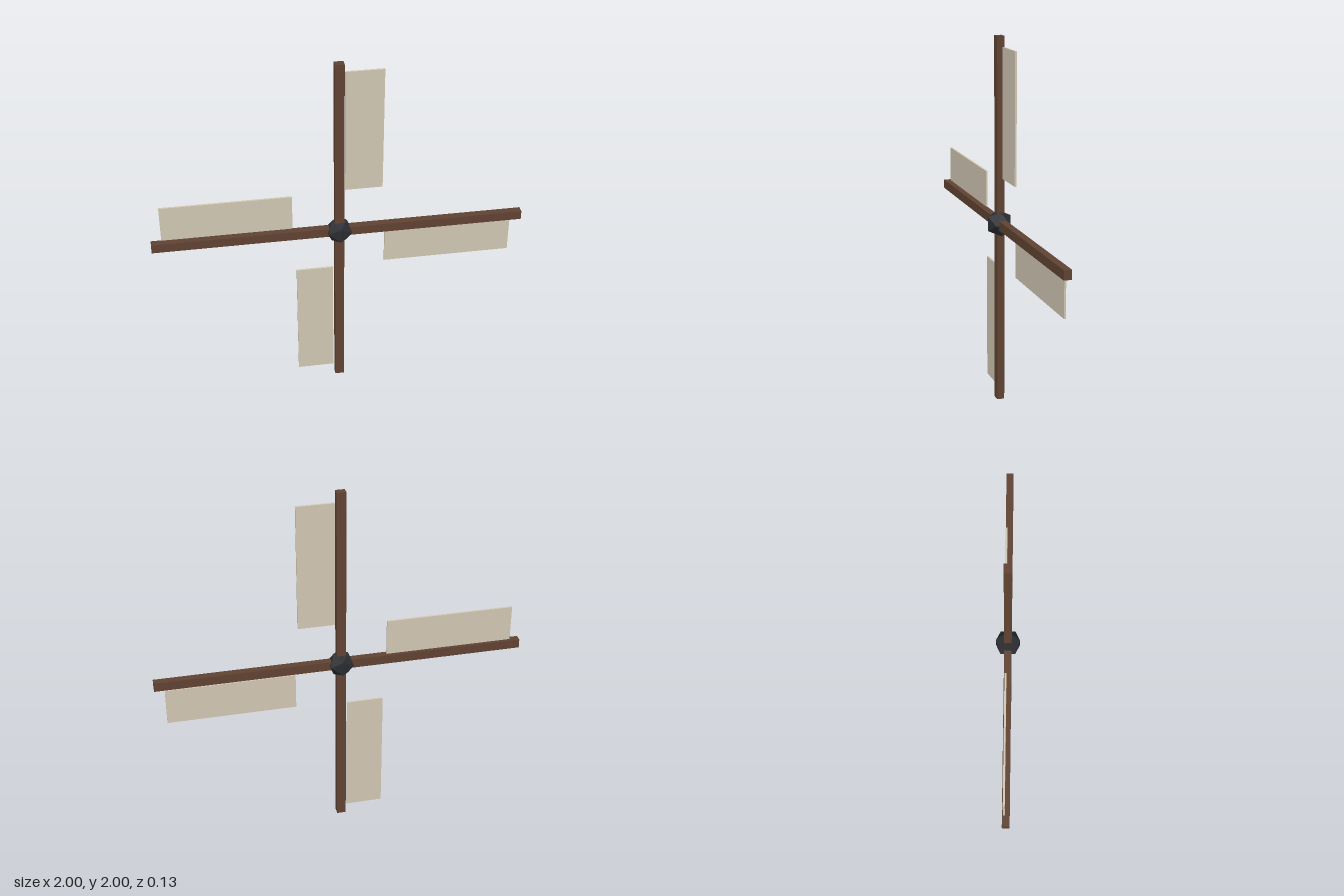
import * as THREE from 'three';

export function createModel() {
  const model = new THREE.Group();
  model.name = 'windmillSails';

  const wood = new THREE.MeshStandardMaterial({ color: 0x5f4232 });
  const cloth = new THREE.MeshStandardMaterial({ color: 0xd0c6b2 });
  const iron = new THREE.MeshStandardMaterial({ color: 0x2a2c31, flatShading: true });

  const add = (parent, name, geometry, material, x = 0, y = 0, z = 0) => {
    const mesh = new THREE.Mesh(geometry, material);
    mesh.name = name;
    mesh.position.set(x, y, z);
    parent.add(mesh);
  };

  // Rotor turns about its centre, one unit above the ground
  const rotor = new THREE.Group();
  rotor.name = 'rotor';
  rotor.position.y = 1;
  model.add(rotor);

  // Faceted hub
  add(rotor, 'hub', new THREE.IcosahedronGeometry(0.075, 0), iron);

  // Four arms, each with a thin sail set beside and slightly behind its beam
  const beam = new THREE.BoxGeometry(0.05, 1, 0.04);
  const sail = new THREE.BoxGeometry(0.2, 0.695, 0.01);
  for (let i = 0; i < 4; i++) {
    const arm = new THREE.Group();
    arm.name = `arm${i + 1}`;
    arm.rotation.z = -i * Math.PI / 2;
    add(arm, 'beam', beam, wood, 0, 0.5, 0);
    add(arm, 'sail', sail, cloth, 0.133, 0.597, -0.01);
    rotor.add(arm);
  }

  return model;
}
